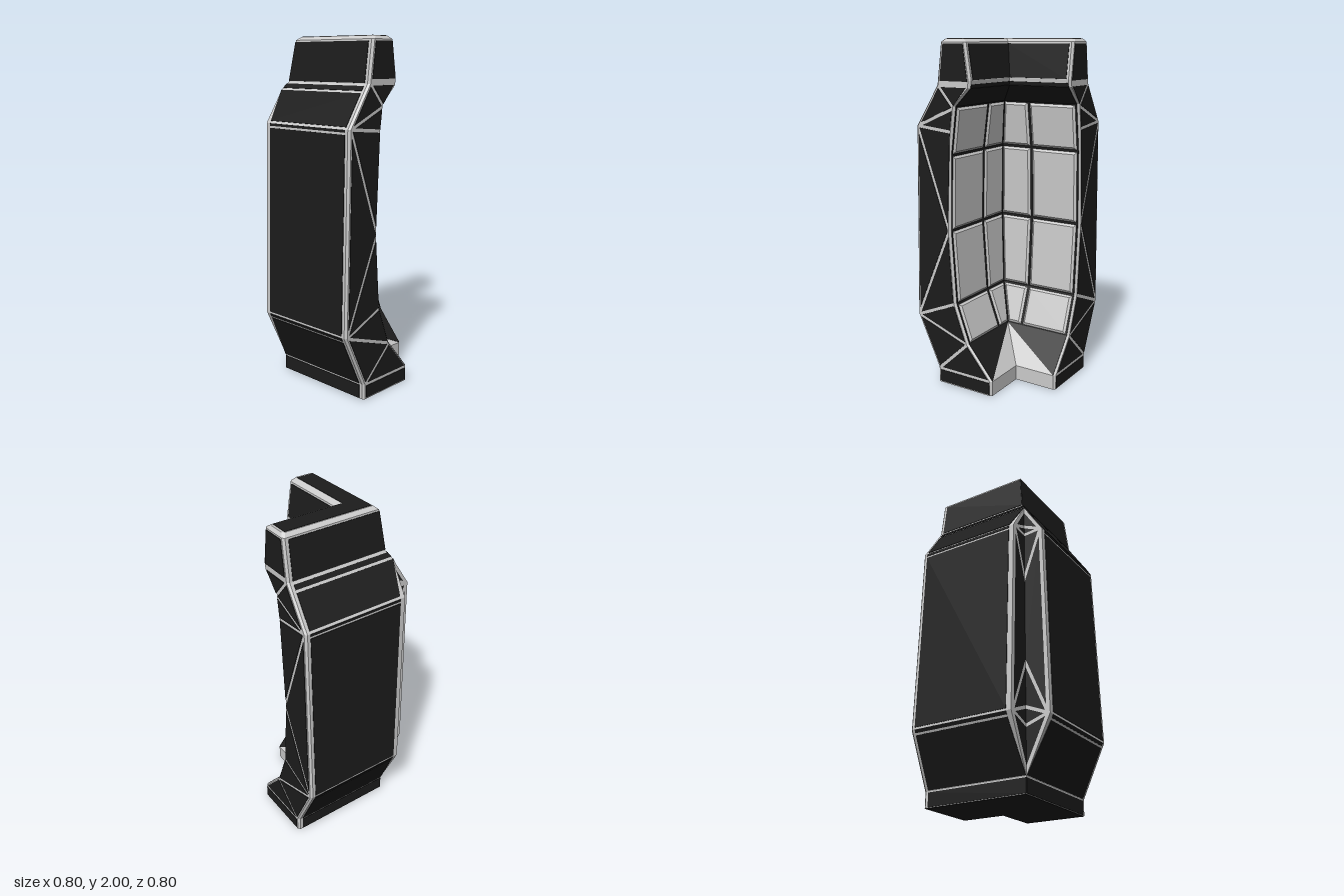
import * as THREE from 'three';

const END = 0.395;    // open end of each wing
const NOTCH = -0.25;  // plane where the outer corner is cut back
const CH = 0.012;     // chamfer along the end edges

// Wall profile as [y, distance] for the outer and the inner side
const OUTER = [[0, -0.25], [0.09, -0.25], [0.4, -0.395], [1.522, -0.368], [1.75, -0.22], [1.98, -0.19], [2, -0.165]];
const INNER = [[0, 0.13], [0.09, 0.13], [0.28, -0.03], [0.51, -0.115], [0.94, -0.145], [1.37, -0.135],
  [1.64, -0.1], [1.74, 0], [1.78, 0.005], [1.98, -0.025], [2, -0.055]];
const LEVELS = [0.002, 0.09, 0.28, 0.4, 0.51, 0.94, 1.37, 1.522, 1.64, 1.703, 1.74, 1.75, 1.78, 1.98, 1.998];

function sample(profile, y) {
  for (let k = 1; k < profile.length; k++) {
    const [y0, v0] = profile[k - 1], [y1, v1] = profile[k];
    if (y <= y1) return v0 + (v1 - v0) * (y - y0) / (y1 - y0);
  }
  return profile[profile.length - 1][1];
}
const outer = y => sample(OUTER, y);
const inner = y => sample(INNER, y);
const start = y => Math.max(NOTCH, outer(y));
const V = (x, y, z) => new THREE.Vector3(x, y, z);

function fan(out, pts) {
  for (let k = 1; k < pts.length - 1; k++) out.push(pts[0], pts[k], pts[k + 1]);
}

function normalOf(pts) {
  const n = V(0, 0, 0);
  for (let k = 1; k < pts.length - 1; k++) {
    n.add(pts[k].clone().sub(pts[0]).cross(pts[k + 1].clone().sub(pts[0])));
  }
  return n.normalize();
}

// Shrink a convex polygon by a distance, then lift it along its normal
function shrink(pts, inset, lift) {
  const n = normalOf(pts), c = pts.length;
  return pts.map((p, k) => {
    const a = n.clone().cross(p.clone().sub(pts[(k + c - 1) % c]).normalize());
    const b = n.clone().cross(pts[(k + 1) % c].clone().sub(p).normalize());
    const s = inset / Math.max(0.05, 1 + a.dot(b));
    return p.clone().addScaledVector(a.add(b), s).addScaledVector(n, lift);
  });
}

// Raised plate with bevelled sides
function plate(out, pts, inset, lift = 0.003, bevel = 0) {
  const low = shrink(pts, inset, 0), top = shrink(pts, inset + bevel, lift);
  fan(out, top);
  low.forEach((p, k) => {
    const m = (k + 1) % low.length;
    fan(out, [p, low[m], top[m], top[k]]);
  });
}

// Keep the part of a polygon with x below a limit
function clipX(pts, limit) {
  const res = [];
  pts.forEach((p, k) => {
    const q = pts[(k + 1) % pts.length];
    if (p.x <= limit) res.push(p);
    if ((p.x <= limit) !== (q.x <= limit)) res.push(p.clone().lerp(q, (limit - p.x) / (q.x - p.x)));
  });
  return res;
}

// Outline of one wing at a height
function ring(y) {
  const o = outer(y), i = inner(y), e = start(y), z = y > 1.99 ? END - 0.015 : END;
  return [V(o, y, e), V(o, y, z - CH), V(o + CH, y, z), V(i - CH, y, z), V(i, y, z - CH), V(i, y, i), V(e, y, e)];
}

function frameBody() {
  const out = [], rings = LEVELS.map(ring);
  for (let r = 1; r < rings.length; r++) {
    for (let k = 0; k < 7; k++) {
      if (k === 5) continue; // the hidden mitre
      const m = (k + 1) % 7, a = rings[r - 1], b = rings[r];
      fan(out, [a[k], a[m], b[m], b[k]]);
    }
  }
  fan(out, rings[rings.length - 1]);
  fan(out, rings[0].slice().reverse());
  return out;
}

function outerPanels() {
  const out = [];
  const bands = [[0.004, 0.084], [0.095, 0.37], [0.381, 0.399], [0.411, 1.495], [1.507, 1.521],
    [1.534, 1.702], [1.714, 1.738], [1.754, 1.97]];
  const margin = y => (start(y) - outer(y) > 0.01 ? 0.03 : 0);
  for (const [a, b] of bands) {
    plate(out, [V(outer(a), a, start(a) + margin(a)), V(outer(a), a, END - 0.03),
      V(outer(b), b, END - 0.03), V(outer(b), b, start(b) + margin(b))], 0);
  }
  return out;
}

// Triangular panels between the ribs, on the open end and in the corner notch
function trussPanels() {
  const out = [];
  const O = y => V(outer(y) + CH, y, 0), I = y => V(inner(y) - CH * 0.5, y, 0);
  const cells = [
    [O(0), I(0), I(0.09), O(0.09)],
    [O(0.09), I(0.09), I(0.28)], [O(0.09), I(0.28), O(0.4)],
    [O(0.4), I(0.28), I(0.51)], [O(0.4), I(0.51), I(0.94)],
    [O(0.4), I(0.94), O(1.522)], [O(1.522), I(0.94), I(1.5)],
    [O(1.522), I(1.5), I(1.63)], [O(1.522), I(1.63), O(1.75)],
    [O(1.75), I(1.63), I(1.75)], [O(1.765), I(1.765), I(1.98), O(1.98)],
  ];
  for (const cell of cells) {
    plate(out, cell.map(p => V(p.x, p.y, END)), 0.009);
    const cut = clipX(shrink(cell, 0.009, 0), NOTCH - 0.003);
    if (cut.length > 2 && cell[0].y > 0.05 && cell[0].y < 1.7) {
      fan(out, cut.map(p => V(p.x, p.y, NOTCH - 0.003)).reverse());
    }
  }
  return out;
}

// Quad on the inner wall between two heights
function innerQuad(a, b, z0, z1) {
  const from = y => (z0 === null ? inner(y) : z0);
  return [V(inner(a), a, z1), V(inner(a), a, from(a)), V(inner(b), b, from(b)), V(inner(b), b, z1)];
}

const ROWS = [0.28, 0.51, 0.94, 1.37, 1.64];

function innerPanels() {
  const out = [];
  for (let k = 1; k < ROWS.length; k++) plate(out, innerQuad(ROWS[k - 1], ROWS[k], null, END - CH), 0, 0.002);
  plate(out, innerQuad(1.64, 1.74, null, END - CH), 0, 0.002);
  plate(out, innerQuad(1.74, 1.76, null, END - CH), 0, 0.002);
  plate(out, innerQuad(1.782, 1.97, null, END - 0.025), 0, 0.003);
  // dark half of the sloping foot
  const foot = innerQuad(0.09, 0.28, null, END - CH);
  plate(out, [foot[0], foot[2], foot[3]], 0, 0.002);
  return out;
}

function wallTiles() {
  const out = [];
  for (let k = 1; k < ROWS.length; k++) {
    for (const [z0, z1] of [[null, 0.07], [0.07, 0.38]]) {
      plate(out, innerQuad(ROWS[k - 1], ROWS[k], z0, z1), 0.005, 0.012, 0.016);
    }
  }
  return out;
}

function capPanels() {
  const out = [];
  const flat = (y, o, i, end) => [V(o, y, o), V(o, y, end), V(i, y, end), V(i, y, i)];
  plate(out, flat(1.998, -0.163, -0.057, END - 0.028), 0, 0.002);
  plate(out, flat(0.002, -0.245, 0.125, END - 0.015).reverse(), 0, 0.002);
  return out;
}

export function createModel() {
  const model = new THREE.Group();
  model.name = 'cornerWall';
  const grey = new THREE.MeshStandardMaterial({ color: 0xcccccc });
  const dark = new THREE.MeshStandardMaterial({ color: 0x1c1c1c });
  const parts = [
    ['frameBody', frameBody(), grey], ['outerPanels', outerPanels(), dark],
    ['trussPanels', trussPanels(), dark], ['innerPanels', innerPanels(), dark],
    ['wallTiles', wallTiles(), grey], ['capPanels', capPanels(), dark],
  ];
  // The second wing swaps x and z, with the corner order reversed
  for (const mirrored of [false, true]) {
    const wing = new THREE.Group();
    wing.name = mirrored ? 'backWing' : 'rightWing';
    for (const [name, tris, material] of parts) {
      const pts = mirrored ? tris.map(p => V(p.z, p.y, p.x)).reverse() : tris;
      const geometry = new THREE.BufferGeometry().setFromPoints(pts);
      geometry.computeVertexNormals();
      const mesh = new THREE.Mesh(geometry, material);
      mesh.name = name;
      wing.add(mesh);
    }
    model.add(wing);
  }
  return model;
}
